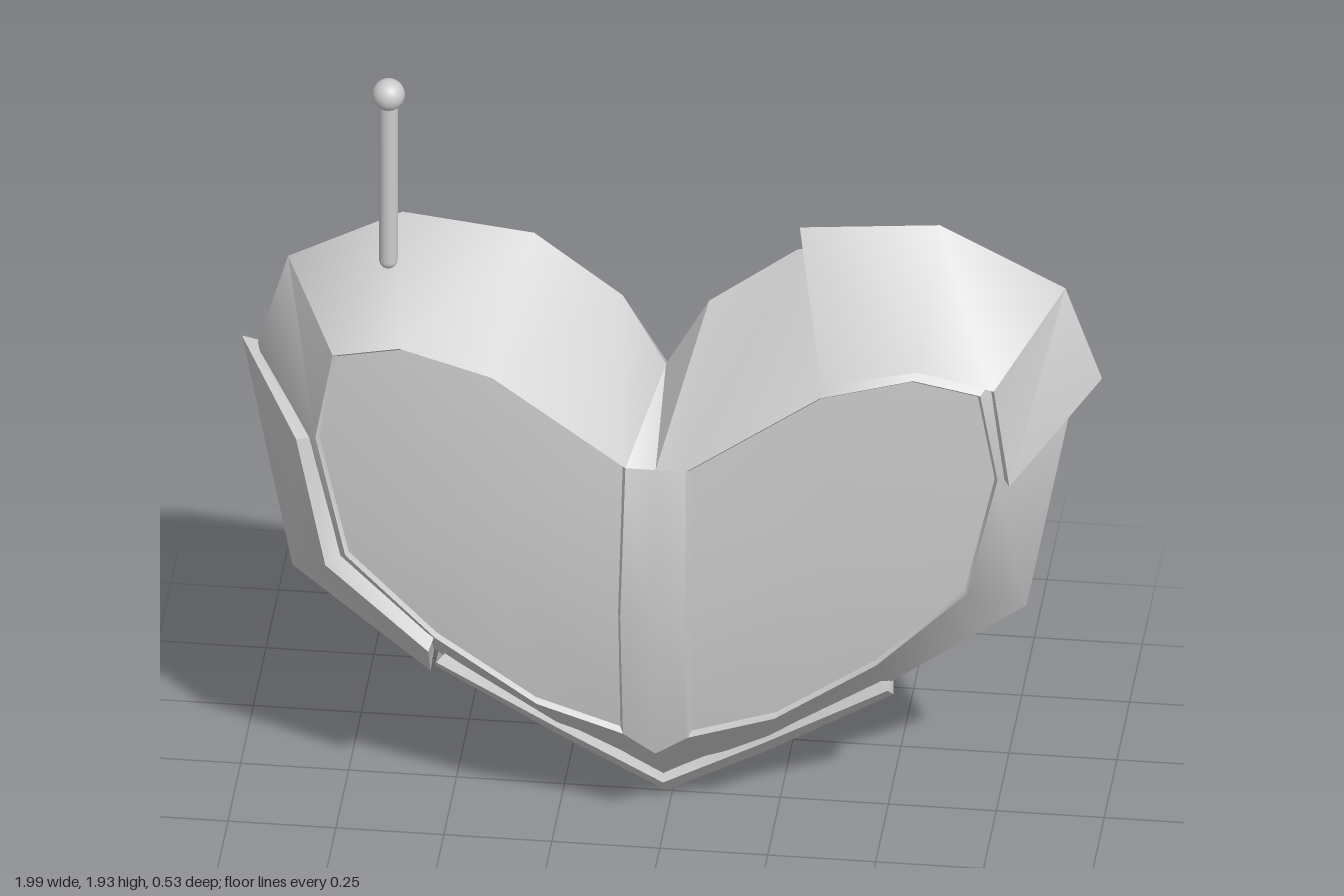
import * as THREE from 'three';
import { toCreasedNormals } from 'three/addons/utils/BufferGeometryUtils.js';

const material = new THREE.MeshStandardMaterial({ color: 0xcccccc });
const CX = -0.015; // symmetry line of the heart

function makeMesh(name, geometry) {
  const mesh = new THREE.Mesh(geometry, material);
  mesh.name = name;
  return mesh;
}

// Collects polygons (fanned into triangles) with optional mirroring in x and z
function faceBuilder() {
  const positions = [];
  return {
    add(points, sx = 1, sz = 1) {
      const p = sx * sz < 0 ? [...points].reverse() : points;
      for (let i = 1; i < p.length - 1; i++)
        for (const [x, y, z] of [p[0], p[i], p[i + 1]]) positions.push(x * sx, y, z * sz);
    },
    build(crease) {
      const g = new THREE.BufferGeometry();
      g.setAttribute('position', new THREE.Float32BufferAttribute(positions, 3));
      return toCreasedNormals(g, crease);
    },
  };
}

// Half outline of the heart at z = 0, from the top dip round to the lower tip
const outline = [
  [0, 1.16, 0], [0.1, 1.34, 0], [0.305, 1.495, 0], [0.61, 1.53, 0], [0.875, 1.39, 0], [0.945, 1.15, 0],
  [0.835, 0.565, 0], [0.52, 0.333, 0], [0.235, 0.15, 0], [0.1, 0.085, 0], [0, 0.03, 0],
];
// Frame round one panel
const frame = [
  [0.07, 1.0, 0.205], [0.38, 1.22, 0.2], [0.595, 1.28, 0.195], [0.75, 1.245, 0.187], [0.79, 1.02, 0.188],
  [0.72, 0.71, 0.196], [0.51, 0.505, 0.205], [0.275, 0.345, 0.208], [0.075, 0.28, 0.21],
];
// Raised strip between the panels
const spineTop = [0, 1.0, 0.205], spineMid = [0, 0.63, 0.265], spineLow = [0, 0.23, 0.208];
const frameMid = [0.075, 0.63, 0.264];
const panelCentre = [0.42, 0.8, 0.222];

function heartBody() {
  const shell = faceBuilder(), panels = faceBuilder();
  const inner = [spineTop, ...frame, spineLow];
  const loop = [...frame, frameMid];
  const inset = loop.map(([x, y, z], i) => [
    x + (panelCentre[0] - x) * 0.022, y + (panelCentre[1] - y) * 0.022, z - (i === 9 ? 0.025 : 0.014),
  ]);
  for (const sx of [1, -1]) for (const sz of [1, -1]) {
    // Sloping rim
    for (let i = 0; i < outline.length - 1; i++)
      shell.add([inner[i], inner[i + 1], outline[i + 1], outline[i]], sx, sz);
    // Spine
    shell.add([spineTop, spineMid, frameMid, frame[0]], sx, sz);
    shell.add([spineMid, spineLow, frame[8], frameMid], sx, sz);
    // Recess walls and bulged panel
    loop.forEach((p, i) => {
      const j = (i + 1) % loop.length;
      shell.add([inset[i], inset[j], loop[j], p], sx, sz);
      panels.add([panelCentre, inset[j], inset[i]], sx, sz);
    });
  }
  const group = new THREE.Group();
  group.name = 'heartBody';
  group.add(makeMesh('shell', shell.build(0.6)), makeMesh('panels', panels.build(0.6)));
  group.position.x = CX;
  return group;
}

// Folded plate over the rim: each station is a ridge point and a lip point, running clockwise
function rimPlate(name, stations, target, step, drop) {
  const faces = faceBuilder();
  const sections = stations.map(([[rx, ry], [x, y, z]]) => {
    const d = new THREE.Vector2(target[0] - x, target[1] - y).setLength(step);
    return [
      [rx, ry, 0], [x, y, z], [x + d.x, y + d.y, z - drop],
      [x + d.x, y + d.y, drop - z], [x, y, -z],
    ];
  });
  for (let i = 0; i < sections.length - 1; i++) {
    const a = sections[i], b = sections[i + 1];
    for (let k = 0; k < 5; k++) {
      const n = (k + 1) % 5;
      faces.add([a[k], a[n], b[n], b[k]]);
    }
  }
  faces.add([...sections[0]].reverse());
  faces.add(sections[sections.length - 1]);
  return makeMesh(name, faces.build(0.6));
}

function antenna() {
  const group = new THREE.Group();
  group.name = 'antenna';
  const rod = makeMesh('antennaRod', new THREE.CapsuleGeometry(0.022, 0.42, 6, 20));
  rod.position.y = 1.65;
  const ball = makeMesh('antennaBall', new THREE.SphereGeometry(0.038, 24, 16));
  ball.position.y = 1.888;
  group.add(rod, ball);
  group.position.set(-0.65, 0, 0.065);
  return group;
}

export function createModel() {
  const model = new THREE.Group();
  model.name = 'armouredHeart';
  model.add(
    heartBody(),
    rimPlate('upperLeftPlate', [
      [[0.295, 1.555], [0.37, 1.27, 0.222]],
      [[0.62, 1.585], [0.595, 1.325, 0.228]],
      [[0.91, 1.435], [0.77, 1.28, 0.218]],
      [[0.995, 1.195], [0.805, 1.02, 0.212]],
    ], [0.4, 0.8], 0.022, 0.05),
    rimPlate('lowerRightPlate', [
      [[-0.56, 0.285], [-0.54, 0.475, 0.218]],
      [[-0.88, 0.55], [-0.78, 0.685, 0.205]],
      [[-0.997, 1.165], [-0.85, 1.01, 0.185]],
    ], [-0.4, 0.8], 0.04, 0.04),
    rimPlate('keelPlate', [
      [[0.512, 0.3], [0.505, 0.345, 0.058]],
      [[0.22, 0.125], [0.215, 0.18, 0.058]],
      [[CX, 0], [CX, 0.057, 0.058]],
      [[-0.25, 0.125], [-0.245, 0.18, 0.058]],
      [[-0.55, 0.3], [-0.54, 0.345, 0.058]],
    ], [CX, 0.9], 0.05, 0.022),
    antenna(),
  );
  return model;
}
